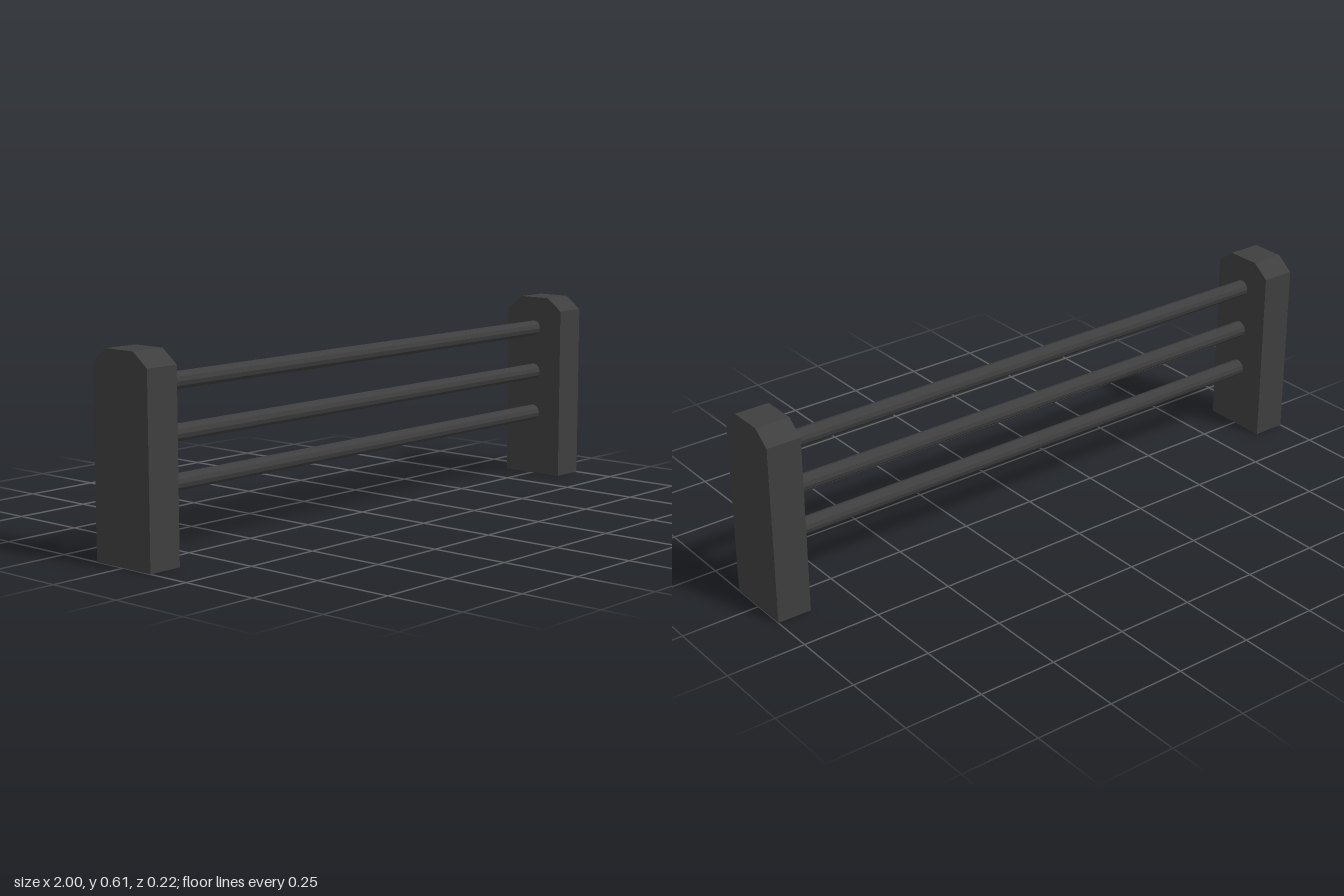
import * as THREE from 'three';

export function createModel() {
  const model = new THREE.Group();
  model.name = 'railBarrier';
  const darkGrey = new THREE.MeshStandardMaterial({ color: 0x3e3e3e, flatShading: true });
  darkGrey.name = 'darkGrey';

  // End posts: upright slabs with chamfered tops
  const thickness = 0.11;
  const profile = new THREE.Shape([
    [-0.11, 0], [0.11, 0], [0.11, 0.567], [0.055, 0.609], [-0.055, 0.609], [-0.11, 0.567],
  ].map(([z, y]) => new THREE.Vector2(z, y)));
  const postGeometry = new THREE.ExtrudeGeometry(profile, { depth: thickness, bevelEnabled: false });
  postGeometry.translate(0, 0, -thickness / 2).rotateY(Math.PI / 2);
  for (const [name, side] of [['leftPost', 1], ['rightPost', -1]]) {
    const post = new THREE.Mesh(postGeometry, darkGrey);
    post.name = name;
    post.position.x = side * (1 - thickness / 2);
    model.add(post);
  }

  // Three round rails, their ends set just inside the posts
  const railGeometry = new THREE.CylinderGeometry(0.026, 0.026, 1.8, 12);
  railGeometry.rotateZ(Math.PI / 2);
  [['lowerRail', 0.212], ['middleRail', 0.354], ['upperRail', 0.503]].forEach(([name, y]) => {
    const rail = new THREE.Mesh(railGeometry, darkGrey);
    rail.name = name;
    rail.position.y = y;
    model.add(rail);
  });

  return model;
}
